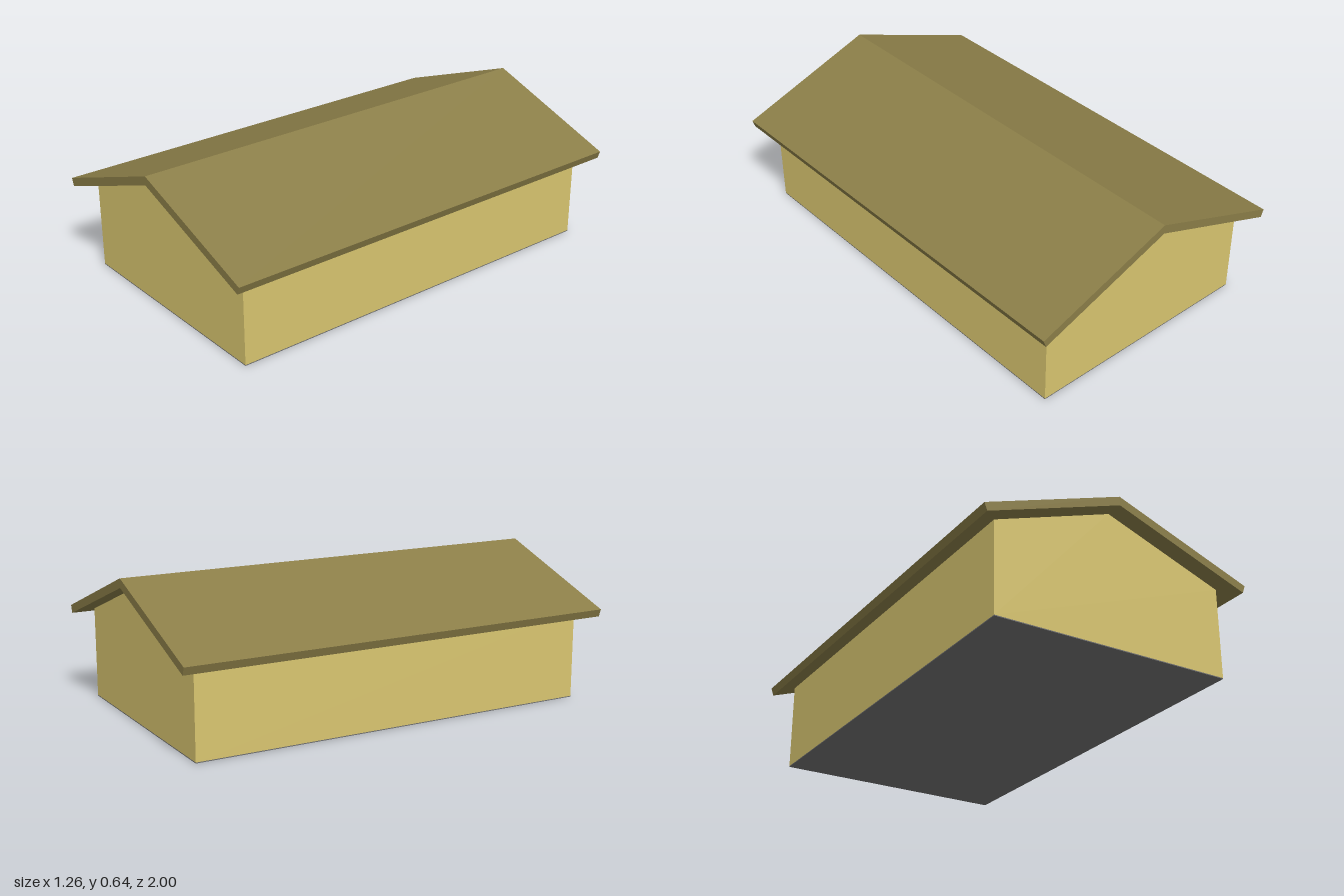
import * as THREE from 'three';

// Extrudes a closed x/y outline along z, centred on z = 0
function prism(name, points, length, color) {
  const shape = new THREE.Shape(points.map(([x, y]) => new THREE.Vector2(x, y)));
  const geometry = new THREE.ExtrudeGeometry(shape, { depth: length, bevelEnabled: false });
  geometry.translate(0, 0, -length / 2);
  const mesh = new THREE.Mesh(geometry, new THREE.MeshStandardMaterial({ color, flatShading: true }));
  mesh.name = name;
  return mesh;
}

export function createModel() {
  const group = new THREE.Group();
  group.name = 'gabledBuilding';

  const halfWidth = 0.54, wallLength = 1.845, floorTop = 0.004;
  const ridge = 0.6, slope = 0.361;
  const eave = ridge - slope * halfWidth;

  // Walls with gable ends
  group.add(prism('walls', [
    [-halfWidth, floorTop], [halfWidth, floorTop], [halfWidth, eave], [0, ridge], [-halfWidth, eave],
  ], wallLength, 0xd9c670));

  // Pitched roof slab, overhanging on all sides
  group.add(prism('roof', [
    [0, 0.64], [-0.629, 0.412], [-0.617, 0.378], [0, ridge], [0.617, 0.378], [0.629, 0.412],
  ], 2, 0x8b7e48));

  // Thin floor closing the underside
  const floor = new THREE.Mesh(
    new THREE.BoxGeometry(halfWidth * 2, floorTop, wallLength),
    new THREE.MeshStandardMaterial({ color: 0x707070 }),
  );
  floor.name = 'floor';
  floor.position.y = floorTop / 2;
  group.add(floor);

  return group;
}
